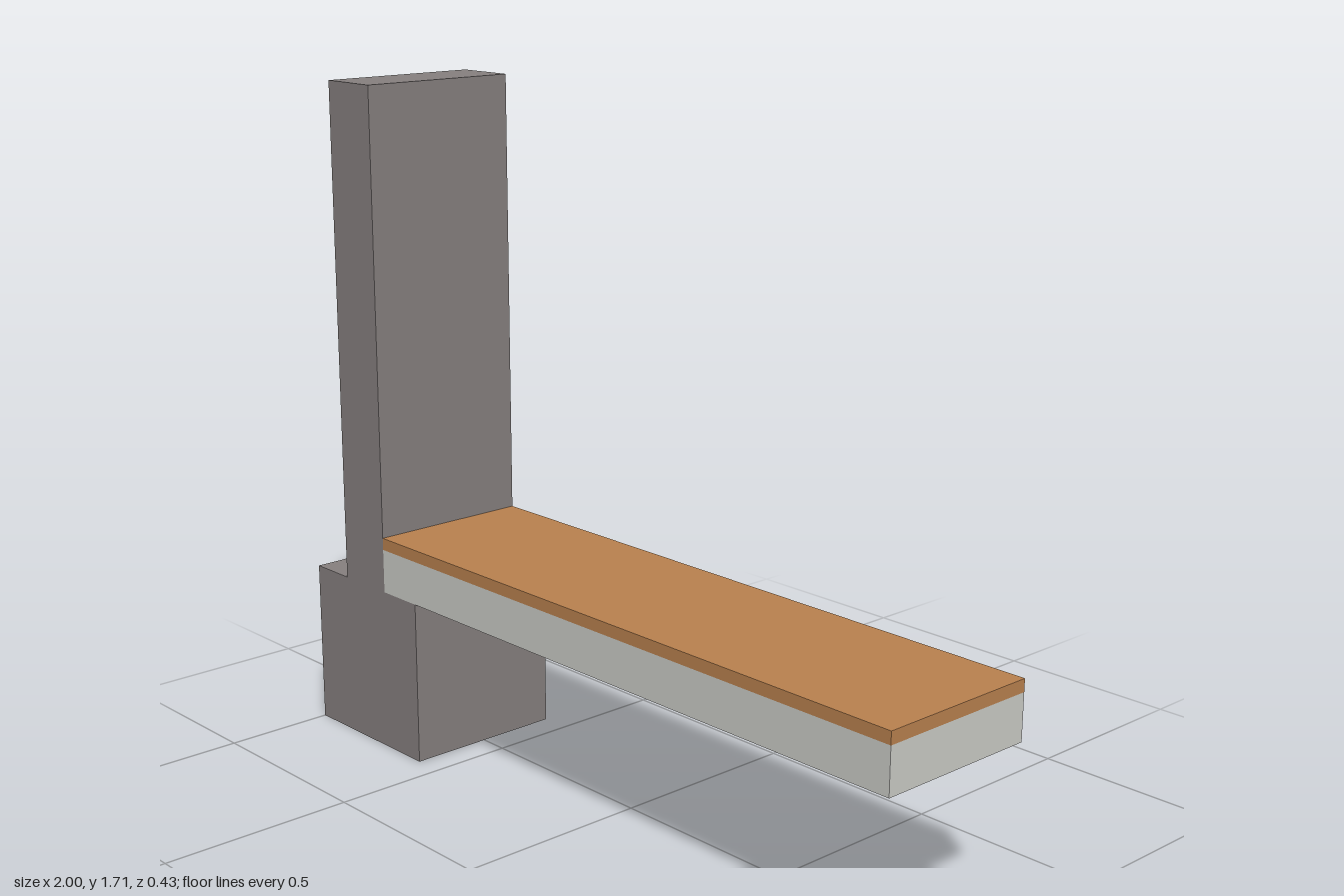
import * as THREE from 'three';

const DEPTH = 0.425;

export function createModel() {
  const group = new THREE.Group();
  const masonry = new THREE.MeshStandardMaterial({ color: 0x878180 });
  masonry.name = 'grey masonry';
  const concrete = new THREE.MeshStandardMaterial({ color: 0xcccdc8 });
  concrete.name = 'pale concrete';
  const wood = new THREE.MeshStandardMaterial({ color: 0xba824f });
  wood.name = 'brown wood';

  // Full-depth block spanning x0..x1 and y0..y1
  function block(name, x0, x1, y0, y1, material) {
    const mesh = new THREE.Mesh(new THREE.BoxGeometry(x1 - x0, y1 - y0, DEPTH), material);
    mesh.position.set((x0 + x1) / 2, (y0 + y1) / 2, 0);
    mesh.name = name;
    group.add(mesh);
  }

  // Footing and the wall standing on its middle
  block('footing', -1, -0.575, 0, 0.427, masonry);
  block('wall', -0.87, -0.705, 0.427, 1.712, masonry);

  // Floor slab cantilevered from the wall, with its wooden covering
  block('floorSlab', -0.705, 1, 0.427, 0.541, concrete);
  block('floorCovering', -0.705, 1, 0.541, 0.572, wood);

  return group;
}
